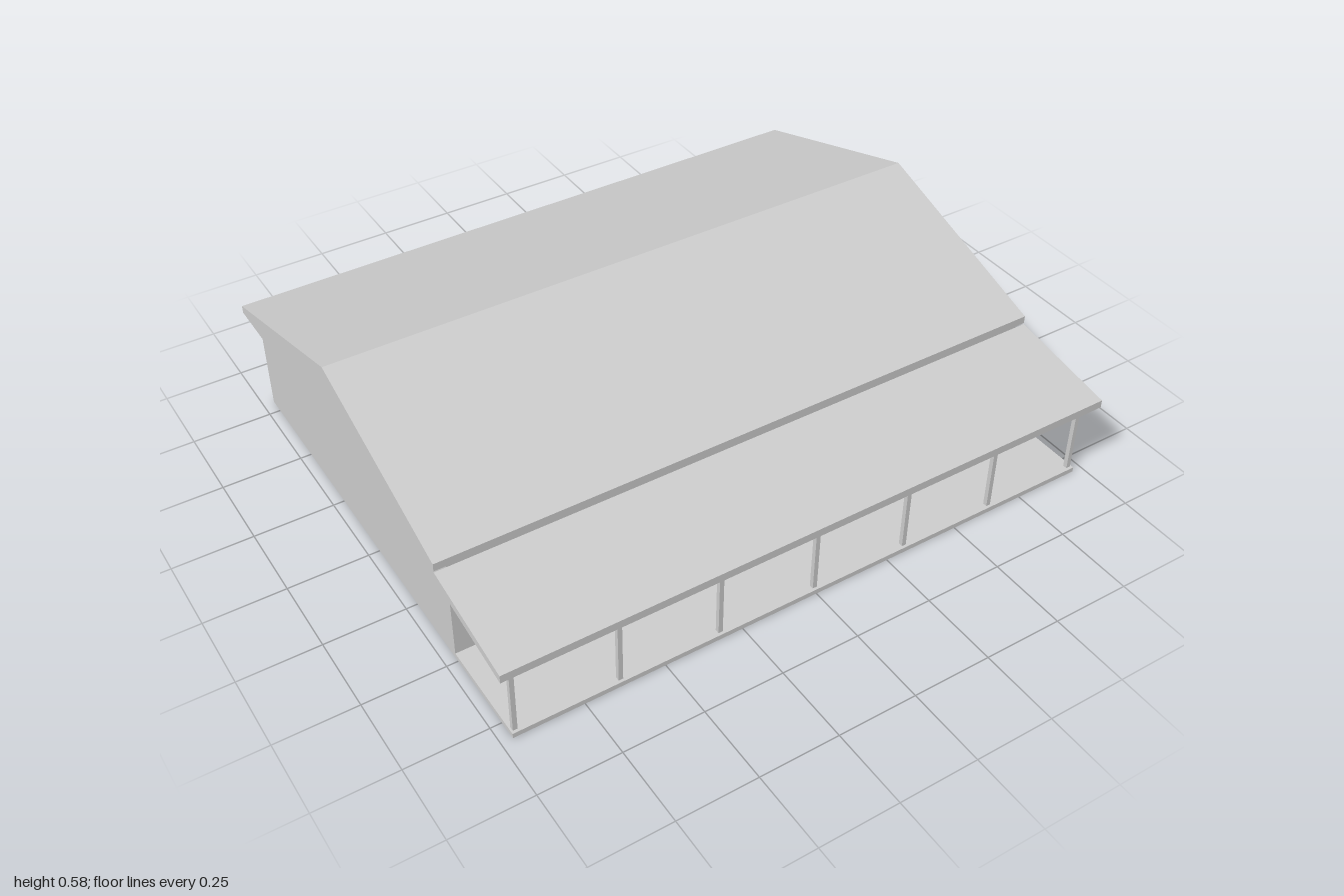
import * as THREE from 'three';

const T = 0.012;                         // wall thickness
const FLOOR = 0.016, EAVE = 0.345;       // floor top, wall top
const HALF = 0.965, FRONT = 0.485, BACK = -0.803, PORCH = 0.81;

export function createModel() {
  const group = new THREE.Group();
  const plaster = new THREE.MeshStandardMaterial({ color: 0xcccccc });
  plaster.name = 'lightGrey';

  function add(name, geometry) {
    const mesh = new THREE.Mesh(geometry, plaster);
    mesh.name = name;
    group.add(mesh);
    return mesh;
  }

  // Box given by its two opposite corners
  function box(name, x0, x1, y0, y1, z0, z1) {
    const mesh = add(name, new THREE.BoxGeometry(x1 - x0, y1 - y0, z1 - z0));
    mesh.position.set((x0 + x1) / 2, (y0 + y1) / 2, (z0 + z1) / 2);
  }

  const rect = (Type, a0, a1, b0, b1) => new Type([
    new THREE.Vector2(a0, b0), new THREE.Vector2(a1, b0),
    new THREE.Vector2(a1, b1), new THREE.Vector2(a0, b1),
  ]);

  // Upright wall with rectangular openings [start, end, bottom, top]
  function wall(name, a0, a1, openings) {
    const shape = rect(THREE.Shape, a0, a1, 0, EAVE);
    for (const o of openings) shape.holes.push(rect(THREE.Path, ...o));
    return add(name, new THREE.ExtrudeGeometry(shape, { depth: T, bevelEnabled: false }));
  }

  // Side profile [z, y] swept along the full width of the roof
  function roof(name, profile) {
    const shape = new THREE.Shape(profile.map(([z, y]) => new THREE.Vector2(-z, y)));
    const geometry = new THREE.ExtrudeGeometry(shape, { depth: 2, bevelEnabled: false });
    geometry.translate(0, 0, -1).rotateY(Math.PI / 2);
    add(name, geometry);
  }

  // Floors
  box('houseFloor', -HALF + T, HALF - T, 0, FLOOR, BACK + T, FRONT - T);
  box('porchFloor', -HALF, HALF, 0, FLOOR, FRONT, PORCH);

  // Front wall: four windows and the entrance
  const windows = [[-0.78, -0.645], [-0.425, -0.295], [0.29, 0.42], [0.64, 0.775]];
  wall('frontWall', -HALF, HALF, [
    ...windows.map(([a, b]) => [a, b, 0.11, 0.245]),
    [-0.055, 0.05, FLOOR, 0.235],
  ]).position.z = FRONT - T;

  // Plain back wall, and an inner partition with a doorway
  wall('backWall', -HALF, HALF, []).position.z = BACK;
  wall('partition', -HALF + T, HALF - T, [[-0.83, -0.725, FLOOR, 0.235]]).position.z = -0.31;

  // Side walls: garage opening and side door on the left side only
  for (const [name, x, openings] of [
    ['leftWall', HALF - T, [[0.32, 0.65, FLOOR, 0.278], [0.662, 0.76, FLOOR, 0.236]]],
    ['rightWall', -HALF, []],
  ]) {
    const side = wall(name, -FRONT + T, -BACK - T, openings);
    side.rotation.y = Math.PI / 2;
    side.position.x = x;
  }

  // Gable roof block and sloping porch roof
  roof('mainRoof', [[FRONT, EAVE], [FRONT, 0.37], [-0.16, 0.582], [-0.838, 0.37], [-0.838, EAVE]]);
  roof('porchRoof', [[FRONT, 0.315], [FRONT, 0.341], [0.838, 0.283], [0.838, 0.257]]);

  // Porch posts
  for (let i = -3; i <= 3; i++) {
    const x = i * 0.3175;
    box('porchPost', x - 0.007, x + 0.007, FLOOR, 0.272, 0.787, 0.801);
  }

  return group;
}
